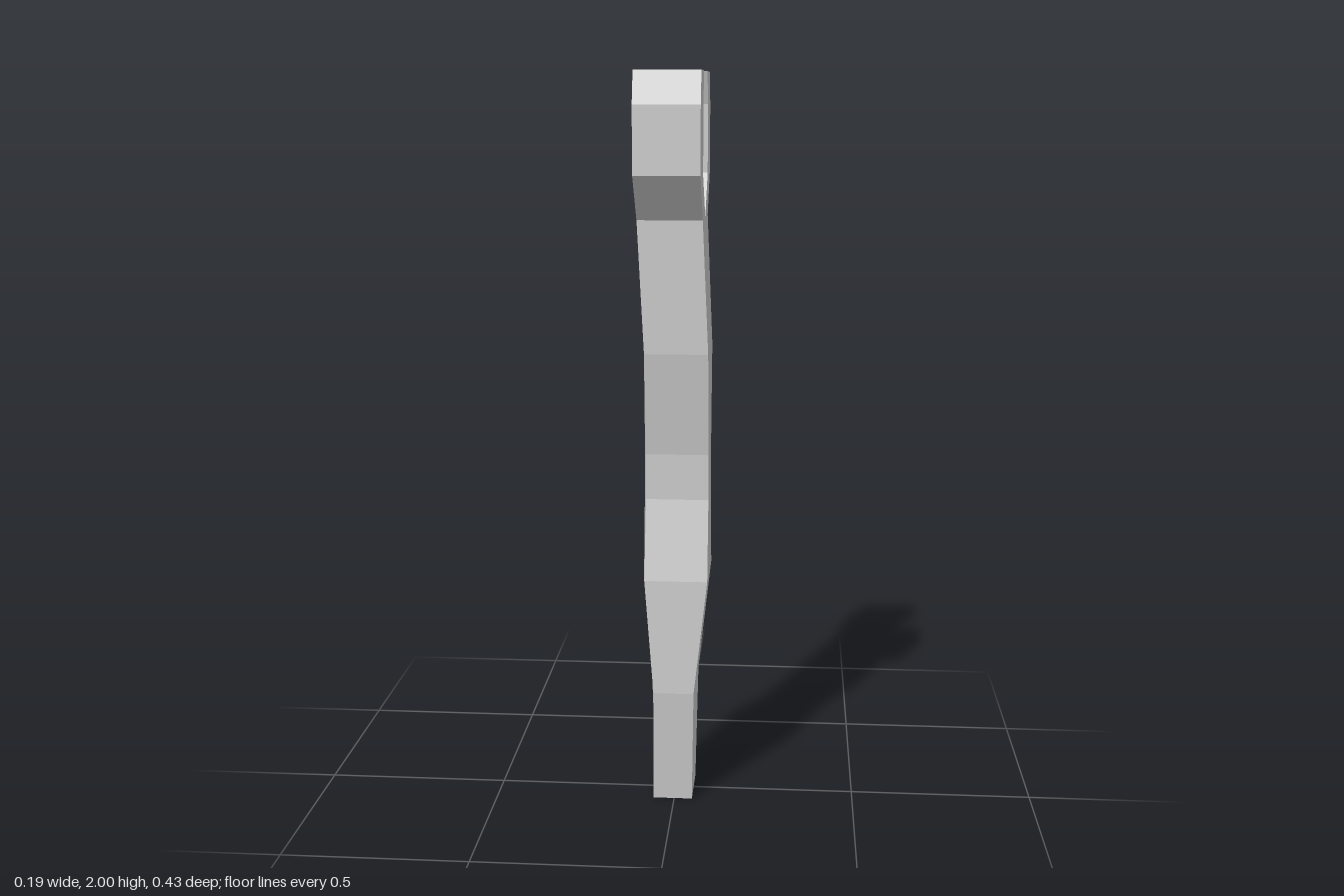
import * as THREE from 'three';

const material = new THREE.MeshStandardMaterial({ color: 0xcccccc, flatShading: true });

// Handle sections: [y, half depth, left edge x, right edge x, left crease x, right crease x]
const SECTIONS = [
  [0, 0.08, -0.058, 0.05, -0.058, 0.05],
  [0.325, 0.112, -0.055, 0.056, -0.068, 0.046],
  [0.645, 0.103, -0.08, 0.092, -0.09, 0.082],
  [0.865, 0.062, -0.078, 0.092, -0.087, 0.083],
  [0.99, 0.062, -0.077, 0.092, -0.086, 0.083],
  [1.27, 0.103, -0.078, 0.092, -0.088, 0.082],
  [1.622, 0.113, -0.095, 0.077, -0.095, 0.077],
];

// Lofted handle with a faint crease down the middle of both broad sides
function createHandle() {
  const positions = [];
  const index = [];
  for (const [y, d, left, right, creaseL, creaseR] of SECTIONS) {
    positions.push(left, y, d, right, y, d, creaseR, y, 0);
    positions.push(right, y, -d, left, y, -d, creaseL, y, 0);
  }
  const n = 6;
  for (let i = 0; i < SECTIONS.length - 1; i++) {
    for (let j = 0; j < n; j++) {
      const a = i * n + j;
      const b = i * n + ((j + 1) % n);
      index.push(a, b, b + n, a, b + n, a + n);
    }
  }
  // Bottom cap, fanned from the right crease
  for (let k = 3; k < n + 1; k++) index.push(2, (k + 1) % n, k % n);
  const geometry = new THREE.BufferGeometry();
  geometry.setAttribute('position', new THREE.Float32BufferAttribute(positions, 3));
  geometry.setIndex(index);
  const flat = geometry.toNonIndexed();
  flat.computeVertexNormals();
  return flat;
}

// One prong of the open jaw, its outline drawn in z and y
function createProng(side) {
  const outline = [
    [0, 1.622], [0.113, 1.622], [0.217, 1.74], [0.217, 1.915],
    [0.19, 2], [0.078, 2], [0.104, 1.915], [0.104, 1.735],
  ];
  const shape = new THREE.Shape(outline.map(([z, y]) => new THREE.Vector2(side * z, y)));
  const geometry = new THREE.ExtrudeGeometry(shape, { depth: 0.172, bevelEnabled: false });
  return geometry.rotateY(-Math.PI / 2).translate(0.077, 0, 0);
}

export function createModel() {
  const model = new THREE.Group();
  model.name = 'wrench';
  const add = (name, geometry) => {
    const mesh = new THREE.Mesh(geometry, material);
    mesh.name = name;
    model.add(mesh);
  };
  add('handle', createHandle());
  add('frontProng', createProng(1));
  add('backProng', createProng(-1));
  return model;
}
